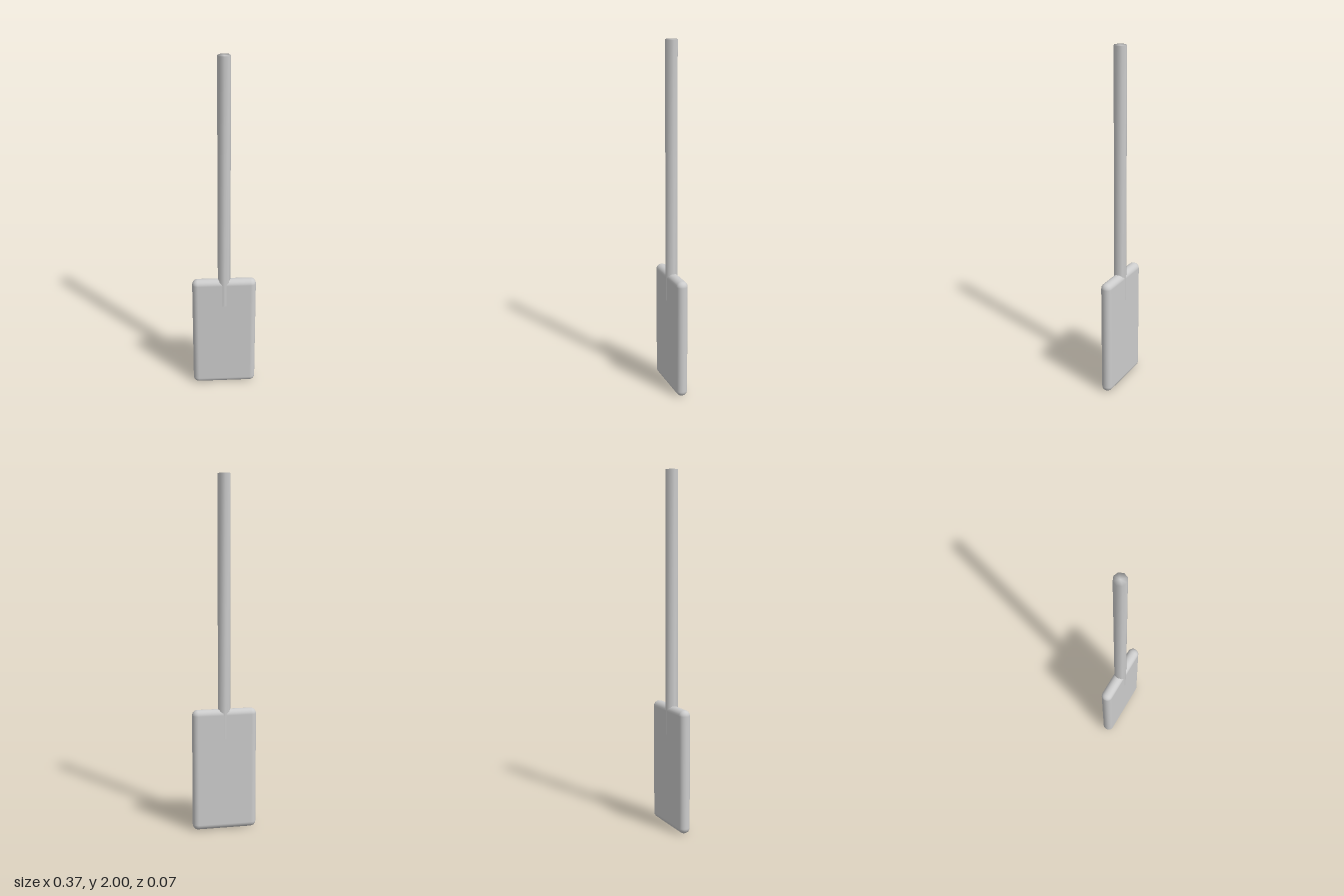
import * as THREE from 'three';
import { mergeVertices } from 'three/addons/utils/BufferGeometryUtils.js';
import { RoundedBoxGeometry } from 'three/addons/geometries/RoundedBoxGeometry.js';

// Share vertices between sides and caps so the shading runs smoothly over the edges
function smooth(geometry) {
  geometry.deleteAttribute('normal');
  geometry.deleteAttribute('uv');
  const merged = mergeVertices(geometry, 1e-4);
  merged.computeVertexNormals();
  return merged;
}

export function createModel() {
  const model = new THREE.Group();
  model.name = 'paddle';

  const paleGrey = new THREE.MeshStandardMaterial({ color: 0xcccccc });
  paleGrey.name = 'paleGrey';

  // Eight-sided shaft, running a little way down through the blade
  const shaftBottom = 0.535, shaftTop = 2;
  const shaft = new THREE.Mesh(
    smooth(new THREE.CylinderGeometry(0.036, 0.036, shaftTop - shaftBottom, 8)),
    paleGrey
  );
  shaft.name = 'shaft';
  shaft.position.y = (shaftTop + shaftBottom) / 2;
  model.add(shaft);

  // Flat blade with fully rounded edges
  const bladeHeight = 0.7;
  const blade = new THREE.Mesh(
    new RoundedBoxGeometry(0.367, bladeHeight, 0.065, 3, 0.032),
    paleGrey
  );
  blade.name = 'blade';
  blade.position.set(0, bladeHeight / 2, -0.001);
  model.add(blade);

  return model;
}
